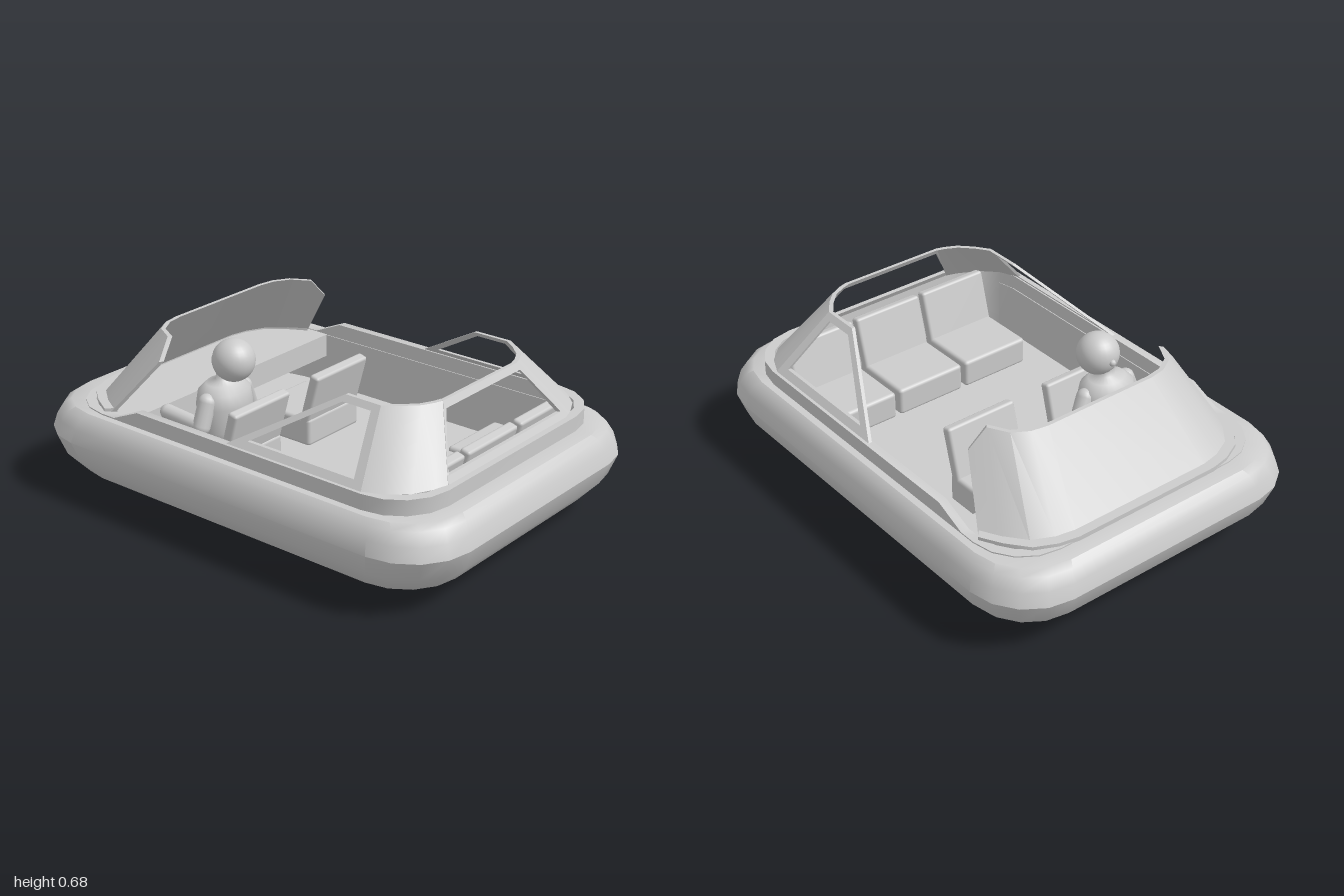
import * as THREE from 'three';
import { toCreasedNormals } from 'three/addons/utils/BufferGeometryUtils.js';
import { RoundedBoxGeometry } from 'three/addons/geometries/RoundedBoxGeometry.js';

const V = (x, y, z) => new THREE.Vector3(x, y, z);
const grey = new THREE.MeshStandardMaterial({ color: 0xcccccc });
const thin = new THREE.MeshStandardMaterial({ color: 0xcccccc, side: THREE.DoubleSide });

function mesh(name, geometry, material = grey) {
  const m = new THREE.Mesh(geometry, material);
  m.name = name;
  return m;
}

// Skin a series of closed rings with equal point counts
function loft(rings, crease = 0.6) {
  const n = rings[0].length, index = [];
  for (let i = 0; i < rings.length - 1; i++) {
    for (let j = 0; j < n; j++) {
      const k = (j + 1) % n;
      const a = i * n + j, b = i * n + k, c = b + n, d = a + n;
      index.push(a, d, b, b, d, c);
    }
  }
  const g = new THREE.BufferGeometry().setFromPoints(rings.flat());
  g.setIndex(index);
  return toCreasedNormals(g, crease);
}

// Rounded rectangle at height y (a number or a function of x)
function outline(hx, hz, r, y) {
  const pts = [];
  const add = (x, z) => pts.push(V(x, typeof y === 'function' ? y(x) : y, z));
  const sidePoint = (x) => Math.max(x, -(hx - r));
  const corners = [[1, 1], [-1, 1], [-1, -1], [1, -1]];
  corners.forEach(([sx, sz], q) => {
    for (let i = 0; i <= 4; i++) {
      const t = (q + i / 4) * Math.PI / 2;
      add(sx * (hx - r) + r * Math.cos(t), sz * (hz - r) + r * Math.sin(t));
    }
    if (q === 0) [-0.45, -0.58].forEach((x) => add(sidePoint(x), hz));
    if (q === 2) [-0.58, -0.45].forEach((x) => add(sidePoint(x), -hz));
  });
  return pts;
}

// Solid curved panel: each column is [bottom, top]; thickness goes towards the middle
function curvedPanel(columns, t = 0.018) {
  const inward = (p) => {
    const l = Math.hypot(p.x, p.z);
    return V(p.x * (1 - t / l), p.y, p.z * (1 - t / l));
  };
  const rings = columns.map(([b, a]) => [b, a, inward(a), inward(b)]);
  const cap = (r) => {
    const c = r.reduce((s, p) => s.add(p), V(0, 0, 0)).multiplyScalar(0.25);
    return r.map(() => c.clone());
  };
  return loft([cap(rings[0]), ...rings, cap(rings[rings.length - 1])], 0.5);
}

// Flat frame with a window hole, leaned over by moving its vertices
function windowFrame(outer, hole, lean) {
  const pts = (list) => list.map(([x, y]) => new THREE.Vector2(x, y));
  const shape = new THREE.Shape(pts(outer));
  shape.holes.push(new THREE.Path(pts(hole)));
  const g = new THREE.ExtrudeGeometry(shape, { depth: 0.015, bevelEnabled: false });
  const p = g.attributes.position;
  for (let i = 0; i < p.count; i++) {
    p.setZ(i, p.getZ(i) - 0.015 + lean(p.getY(i)));
  }
  g.computeVertexNormals();
  return g;
}

function capsule(name, a, b, r) {
  const m = mesh(name, new THREE.CapsuleGeometry(r, a.distanceTo(b), 6, 14));
  m.position.copy(a).lerp(b, 0.5);
  m.quaternion.setFromUnitVectors(V(0, 1, 0), b.clone().sub(a).normalize());
  return m;
}

// Seat facing -x with its front edge at x = 0
function seat(name) {
  const s = new THREE.Group();
  s.name = name;
  const cushion = mesh('seatCushion', new RoundedBoxGeometry(0.29, 0.12, 0.32, 2, 0.015));
  cushion.position.set(0.145, 0.195, 0);
  const back = mesh('seatBack', new RoundedBoxGeometry(0.045, 0.31, 0.32, 2, 0.012));
  back.position.set(0.277, 0.302, 0);
  back.rotation.z = -0.27;
  s.add(cushion, back);
  return s;
}

function createPilot() {
  const pilot = new THREE.Group();
  pilot.name = 'pilot';
  const profile = [[0, 0.24], [0.1, 0.25], [0.115, 0.32], [0.125, 0.42], [0.115, 0.475],
    [0.08, 0.505], [0.035, 0.515], [0.035, 0.55]];
  const torso = mesh('torso', new THREE.LatheGeometry(
    profile.map(([r, y]) => new THREE.Vector2(r, y)), 24));
  torso.scale.x = 0.8;
  torso.position.set(-0.29, 0, 0.31);
  const head = mesh('head', new THREE.SphereGeometry(0.086, 24, 18));
  head.position.set(-0.25, 0.597, 0.295);
  const nose = mesh('nose', new THREE.SphereGeometry(0.014, 10, 8));
  nose.position.set(-0.335, 0.592, 0.295);
  pilot.add(torso, head, nose);
  const arms = [
    [V(-0.29, 0.45, 0.2), V(-0.31, 0.36, 0.15), V(-0.46, 0.38, 0.115)],
    [V(-0.28, 0.45, 0.42), V(-0.28, 0.36, 0.455), V(-0.45, 0.38, 0.465)],
  ];
  for (const [shoulder, elbow, hand] of arms) {
    pilot.add(capsule('upperArm', shoulder, elbow, 0.036), capsule('forearm', elbow, hand, 0.031));
  }
  return pilot;
}

export function createModel() {
  const model = new THREE.Group();
  model.name = 'hovercraft';

  // Inflated hull with flat bottom, side deck and sunken floor: [inset, y]
  const hull = [[0.3, 0.006], [0.2, 0.025], [0.1, 0.085], [0.03, 0.165], [0, 0.25],
    [0.015, 0.305], [0.04, 0.35], [0.065, 0.368], [0.14, 0.368]]
    .map(([d, y]) => outline(1 - d, 0.72 - d * 0.9, 0.26 - d * 0.3, y));
  const point = (y) => outline(0.002, 0.002, 0.001, y);
  model.add(mesh('hull', loft([point(0.006), ...hull, outline(0.86, 0.594, 0.218, 0.14), point(0.14)])));

  // Cockpit coaming, dropping to deck level at the bow
  const rimTop = (x) => 0.373 + 0.057 * THREE.MathUtils.clamp((x + 0.58) / 0.13, 0, 1);
  model.add(mesh('coaming', loft([
    outline(0.87, 0.633, 0.22, 0.355), outline(0.87, 0.633, 0.22, rimTop),
    outline(0.835, 0.598, 0.2, rimTop), outline(0.835, 0.598, 0.2, 0.138),
  ], 0.5)));

  // Dashboard shelf
  const dash = new THREE.Shape([[-0.52, -0.6], [-0.52, 0.6], [-0.7, 0.6], [-0.8, 0.51],
    [-0.85, 0.38], [-0.85, -0.38], [-0.8, -0.51], [-0.7, -0.6]]
    .map(([x, z]) => new THREE.Vector2(x, z)));
  const dashboard = mesh('dashboard', new THREE.ExtrudeGeometry(dash, { depth: 0.1, bevelEnabled: false }));
  dashboard.rotation.x = Math.PI / 2;
  dashboard.position.y = 0.37;
  model.add(dashboard);

  // Wrap-around windscreen and its base strip
  const half = [
    [V(-0.845, 0.375, 0.32), V(-0.6, 0.68, 0.25)],
    [V(-0.83, 0.375, 0.4), V(-0.588, 0.68, 0.32)],
    [V(-0.79, 0.375, 0.485), V(-0.55, 0.68, 0.385)],
    [V(-0.71, 0.375, 0.55), V(-0.47, 0.68, 0.43)],
    [V(-0.63, 0.375, 0.595), V(-0.452, 0.6, 0.5)],
  ];
  const flip = (p) => V(p.x, p.y, -p.z);
  const screen = [...half.map((c) => c.map(flip)).reverse(), ...half];
  model.add(mesh('windscreen', curvedPanel(screen), thin));
  const strip = screen.map(([b]) => [V(b.x * 1.035, 0.365, b.z * 1.03), V(b.x * 1.035, 0.387, b.z * 1.03)]);
  model.add(mesh('windscreenBase', curvedPanel(strip, 0.05), thin));

  // Rear canopy: side frames and corner panels, mirrored, then the rear frame
  for (const s of [1, -1]) {
    const side = new THREE.Group();
    side.name = s > 0 ? 'canopyLeft' : 'canopyRight';
    side.scale.z = s;
    side.add(mesh('sideWindowFrame', windowFrame(
      [[0, 0.428], [0.64, 0.428], [0.56, 0.665], [0.4, 0.665]],
      [[0.09, 0.455], [0.4, 0.643], [0.53, 0.643], [0.59, 0.455]],
      (y) => 0.62 - 0.9 * (y - 0.43)), thin));
    side.add(mesh('canopyCorner', curvedPanel([
      [V(0.64, 0.428, 0.62), V(0.56, 0.665, 0.408)],
      [V(0.72, 0.428, 0.585), V(0.62, 0.665, 0.365)],
      [V(0.785, 0.428, 0.52), V(0.67, 0.665, 0.315)],
      [V(0.83, 0.428, 0.43), V(0.695, 0.665, 0.265)],
      [V(0.845, 0.428, 0.38), V(0.705, 0.665, 0.23)],
    ]), thin));
    model.add(side);
  }
  const rear = mesh('rearWindowFrame', windowFrame(
    [[-0.385, 0.428], [0.385, 0.428], [0.235, 0.665], [-0.235, 0.665]],
    [[-0.365, 0.455], [-0.235, 0.64], [0.235, 0.64], [0.365, 0.455]],
    (y) => 0.845 - 0.59 * (y - 0.428)), thin);
  rear.rotation.y = Math.PI / 2;
  model.add(rear);

  // Two front seats and a row of three behind
  const seats = [[-0.44, 0.29], [-0.44, -0.195], [0.43, -0.35], [0.43, -0.01], [0.43, 0.33]];
  for (const [x, z] of seats) {
    const s = seat(x < 0 ? 'frontSeat' : 'rearSeat');
    s.position.set(x, 0, z);
    model.add(s);
  }

  model.add(createPilot());
  return model;
}
